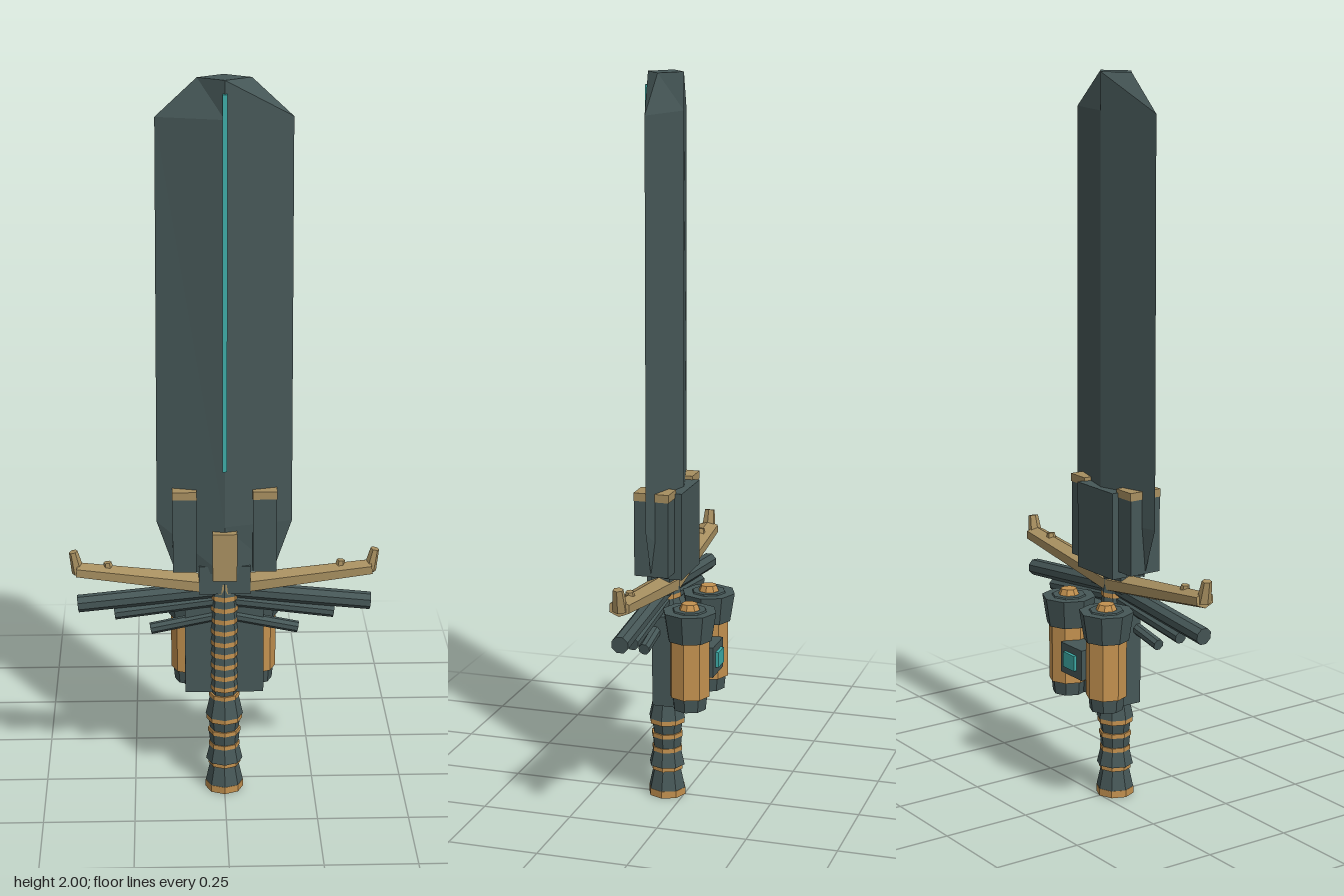
import * as THREE from 'three';

const mat = (name, color) => {
  const m = new THREE.MeshStandardMaterial({ color, flatShading: true });
  m.name = name;
  return m;
};

export function createModel() {
  const steel = mat('dark steel', 0x465757);
  const brass = mat('brass', 0xa78f60);
  const bronze = mat('bronze', 0xc3914f);
  const glow = mat('teal light', 0x3fada8);
  const model = new THREE.Group();
  model.name = 'sword';
  const Z = 0.05; // centre plane of blade and grip

  const add = (name, geo, material, x = 0, y = 0, z = 0) => {
    const mesh = new THREE.Mesh(geo, material);
    mesh.name = name;
    mesh.position.set(x, y, z);
    model.add(mesh);
    return mesh;
  };
  // Box given by its limits on each axis
  const box = (name, material, x0, x1, y0, y1, z0, z1) =>
    add(name, new THREE.BoxGeometry(x1 - x0, y1 - y0, z1 - z0), material,
      (x0 + x1) / 2, (y0 + y1) / 2, (z0 + z1) / 2);
  // Faceted vertical drum from y0 to y1
  const drum = (name, material, x, z, y0, y1, r0, r1, sides = 8) =>
    add(name, new THREE.CylinderGeometry(r1, r0, y1 - y0, sides), material, x, (y0 + y1) / 2, z);
  // Tapered bar between two points in the centre plane
  const bar = (name, material, a, b, ra, rb, sides, depth = 1) => {
    const dx = b[0] - a[0], dy = b[1] - a[1];
    const geo = new THREE.CylinderGeometry(rb, ra, Math.hypot(dx, dy), sides);
    geo.rotateY(Math.PI / sides);
    geo.scale(1, 1, depth);
    const mesh = add(name, geo, material, (a[0] + b[0]) / 2, (a[1] + b[1]) / 2, Z);
    mesh.rotation.z = Math.atan2(-dx, dy);
    return mesh;
  };

  // Blade: diamond sections [y, half width], lofted upwards
  const sections = [[0.66, 0.135], [0.8, 0.183], [1.9, 0.178], [2.0, 0.07]];
  const h = 0.049;
  const ring = ([y, w]) => [[w, y, Z], [0, y, Z + h], [-w, y, Z], [0, y, Z - h]];
  const pos = [];
  const quad = (a, b, c, d) => pos.push(...a, ...b, ...c, ...a, ...c, ...d);
  for (let i = 0; i < sections.length - 1; i++) {
    const lo = ring(sections[i]), hi = ring(sections[i + 1]);
    for (let j = 0; j < 4; j++) {
      const k = (j + 1) % 4;
      quad(lo[j], hi[j], hi[k], lo[k]);
    }
  }
  const top = ring(sections[3]), bottom = ring(sections[0]);
  quad(top[0], top[3], top[2], top[1]);
  quad(bottom[0], bottom[1], bottom[2], bottom[3]);
  // Loops run clockwise seen from above, so turn every triangle outwards
  for (let i = 0; i < pos.length; i += 9) {
    const p = [0, 3, 6].map(o => new THREE.Vector3(pos[i + o], pos[i + o + 1], pos[i + o + 2]));
    const n = p[1].clone().sub(p[0]).cross(p[2].clone().sub(p[0]));
    const mid = p[0].clone().add(p[1]).add(p[2]).divideScalar(3).sub(new THREE.Vector3(0, 1.3, Z));
    if (n.dot(mid) < 0) {
      p[1].toArray(pos, i + 6);
      p[2].toArray(pos, i + 3);
    }
  }
  const bladeGeo = new THREE.BufferGeometry();
  bladeGeo.setAttribute('position', new THREE.Float32BufferAttribute(pos, 3));
  bladeGeo.computeVertexNormals();
  add('blade', bladeGeo, steel);
  box('bladeLight', glow, -0.006, 0.006, 0.96, 1.965, 0.094, 0.106);

  // Blade collar
  box('collarBackPlate', steel, -0.082, 0.082, 0.65, 0.89, -0.018, 0.03);
  box('collarFrontPlate', brass, -0.033, 0.033, 0.65, 0.785, 0.085, 0.115);
  box('collarCore', steel, -0.07, 0.07, 0.6, 0.68, 0.02, 0.085);

  for (const s of [-1, 1]) {
    box('collarClamp', steel, s * 0.108 - 0.032, s * 0.108 + 0.032, 0.67, 0.878, 0.002, 0.097);
    box('collarClampCap', brass, s * 0.108 - 0.033, s * 0.108 + 0.033, 0.878, 0.9, 0, 0.098);

    // Crossguard arm with upturned tip
    bar('guardArm', brass, [0, 0.612], [s * 0.402, 0.662], 0.029, 0.022, 6, 1.4);
    bar('guardTip', brass, [s * 0.397, 0.655], [s * 0.41, 0.715], 0.018, 0.012, 6, 1.2);
    bar('guardStud', brass, [s * 0.315, 0.66], [s * 0.318, 0.683], 0.015, 0.011, 6);

    // Drooping steel quills
    bar('upperQuill', steel, [0, 0.603], [s * 0.4, 0.562], 0.024, 0.024, 8);
    bar('middleQuill', steel, [0, 0.572], [s * 0.3, 0.533], 0.018, 0.018, 8);
    bar('lowerQuill', steel, [0, 0.528], [s * 0.202, 0.486], 0.016, 0.016, 8);

    // Canister on the back
    const x = s * 0.09, z = -0.043;
    drum('canisterBase', steel, x, z, 0.292, 0.33, 0.046, 0.05);
    drum('canisterBody', bronze, x, z, 0.33, 0.49, 0.056, 0.056);
    drum('canisterCap', steel, x, z, 0.49, 0.57, 0.062, 0.075);
    drum('canisterCapTop', steel, x, z, 0.57, 0.574, 0.048, 0.046);
    drum('canisterKnob', bronze, x, z, 0.574, 0.59, 0.029, 0.022);
  }

  // Canister mount, bridge and lamp
  box('canisterMount', steel, -0.108, 0.108, 0.295, 0.55, -0.02, 0.058);
  box('canisterBridge', steel, -0.05, 0.05, 0.37, 0.455, -0.097, -0.03);
  box('bridgeLamp', glow, -0.026, 0.026, 0.392, 0.435, -0.106, -0.095);

  // Upper grip: alternating rings
  drum('gripCore', steel, 0, Z, 0.29, 0.63, 0.036, 0.036);
  for (let i = 0; i < 9; i++) {
    const y = 0.305 + i * 0.034;
    drum('gripRing', bronze, 0, Z, y, y + 0.013, 0.04, 0.04);
    drum('gripSleeve', steel, 0, Z, y + 0.013, y + 0.034, 0.04, 0.036);
  }

  // Lower grip: flared segments and bands [name, material, y0, y1, r0, r1]
  const lower = [
    ['pommel', bronze, 0, 0.02, 0.053, 0.053],
    ['pommelNeck', steel, 0.02, 0.075, 0.052, 0.04],
    ['gripBand', bronze, 0.075, 0.088, 0.045, 0.045],
    ['gripFlare', steel, 0.088, 0.13, 0.051, 0.041],
    ['gripBand', bronze, 0.13, 0.142, 0.043, 0.043],
    ['gripSegment', steel, 0.142, 0.172, 0.04, 0.043],
    ['gripBand', bronze, 0.172, 0.184, 0.045, 0.045],
    ['gripSegment', steel, 0.184, 0.212, 0.04, 0.044],
    ['gripBand', bronze, 0.212, 0.226, 0.05, 0.05],
    ['gripFlare', steel, 0.226, 0.28, 0.052, 0.04],
    ['gripBand', bronze, 0.28, 0.292, 0.042, 0.042],
  ];
  for (const [name, m, y0, y1, r0, r1] of lower) drum(name, m, 0, Z, y0, y1, r0, r1);

  return model;
}
